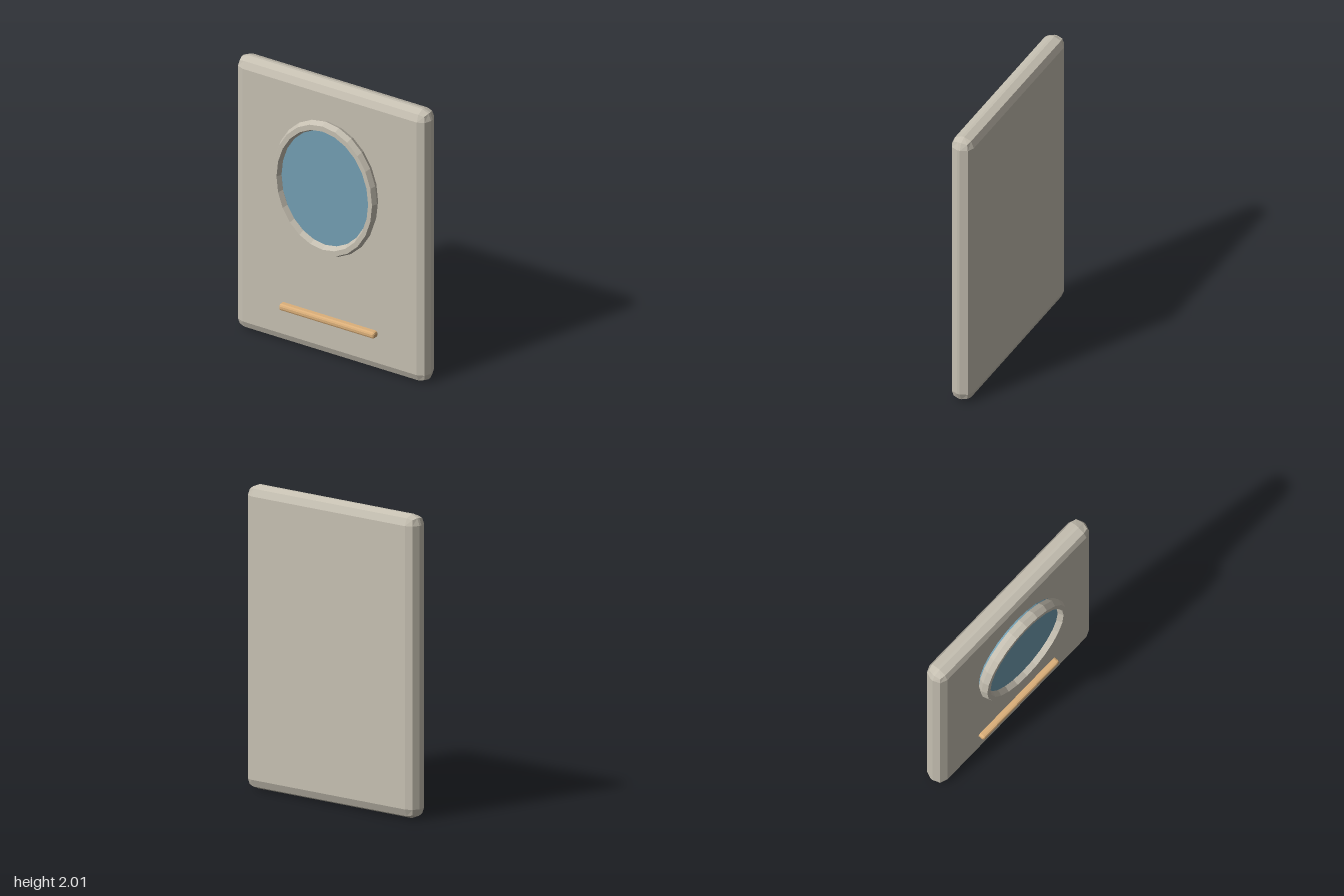
import * as THREE from 'three';
import { RoundedBoxGeometry } from 'three/addons/geometries/RoundedBoxGeometry.js';

const flat = (name, color) => {
  const m = new THREE.MeshStandardMaterial({ color });
  m.name = name;
  m.flatShading = true;
  return m;
};

export function createModel() {
  const group = new THREE.Group();
  const stone = flat('warm grey', 0xc6c0b2);
  const glass = flat('dusty blue', 0x739fb3);
  const brass = flat('light brass', 0xdcb07a);

  const add = (name, geometry, material, x, y, z) => {
    const mesh = new THREE.Mesh(geometry, material);
    mesh.name = name;
    mesh.position.set(x, y, z);
    group.add(mesh);
    return mesh;
  };

  // Box with coarse bevels; one-step bevels fall short by 0.095 r, so pad the size
  const bevelBox = (w, h, d, r) => {
    const pad = 0.19 * r;
    return new RoundedBoxGeometry(w + pad, h + pad, d + pad, 1, r);
  };

  // Door slab
  add('panel', bevelBox(1.452, 2, 0.142, 0.068), stone, 0, 1, -0.048);

  // Oval window: pane and six-sided frame
  const oval = 1.256, windowY = 1.276;
  const pane = new THREE.CylinderGeometry(0.363, 0.363, 0.08, 24);
  pane.rotateX(Math.PI / 2);
  pane.scale(1, oval, 1);
  add('windowPane', pane, glass, 0, windowY, 0.04);

  const frame = new THREE.TorusGeometry(0.3645, 0.03, 6, 24);
  frame.scale(1, oval, 1.42);
  add('windowFrame', frame, stone, 0, windowY, 0.082);

  // Handle bar
  add('handleBar', bevelBox(0.726, 0.043, 0.06, 0.015), brass, 0, 0.277, 0.041);

  return group;
}
